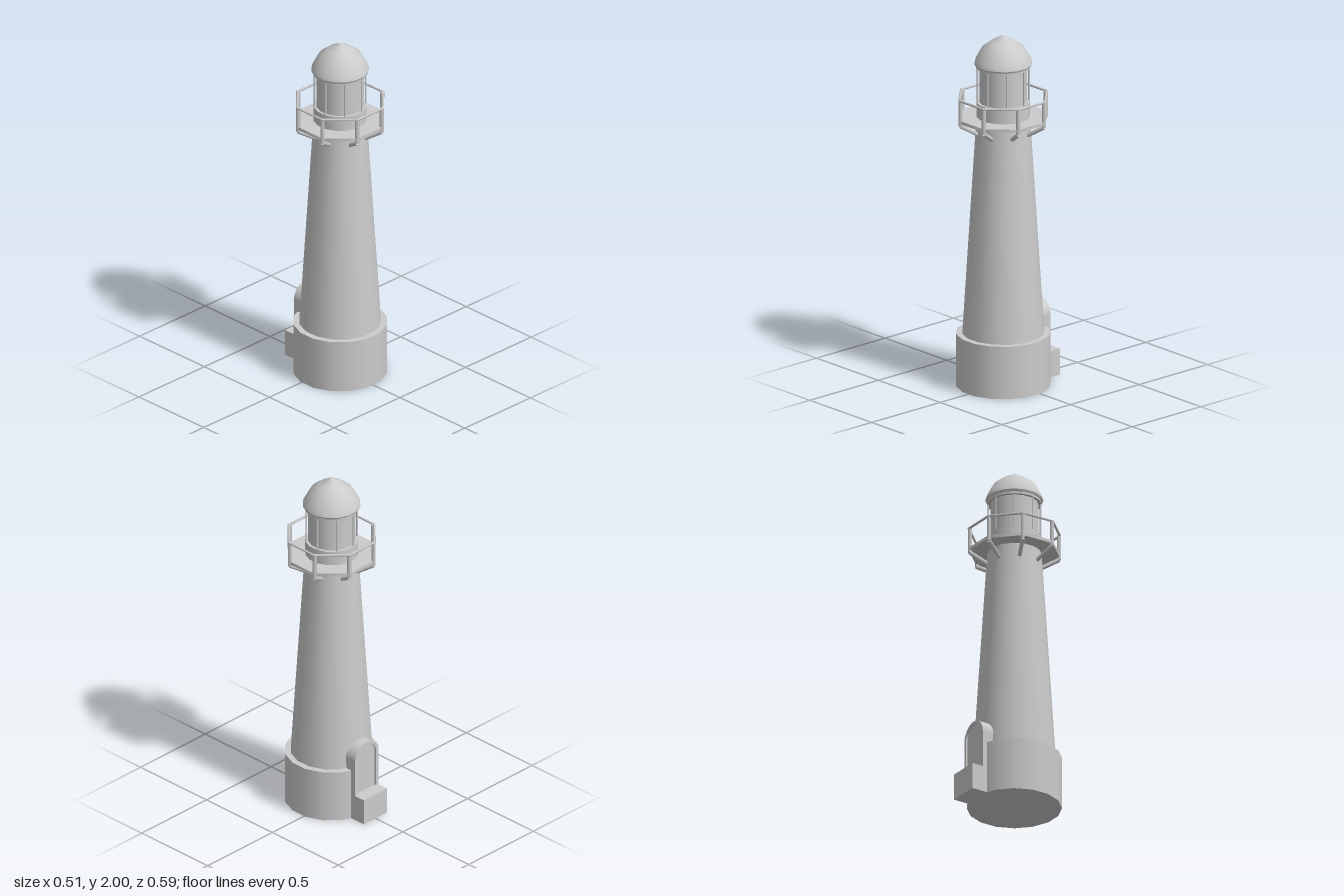
import * as THREE from 'three';

const material = new THREE.MeshStandardMaterial({ color: 0xcccccc });
const AXIS_Z = 0.04; // the tower stands slightly forward of the centre

export function createModel() {
  const group = new THREE.Group();
  const tower = new THREE.Group();
  tower.name = 'tower';
  tower.position.z = AXIS_Z;
  group.add(tower);

  const add = (parent, name, geometry) => {
    const mesh = new THREE.Mesh(geometry, material);
    mesh.name = name;
    parent.add(mesh);
    return mesh;
  };

  // Upright prism or frustum with flats facing the axes; sizes are apothems
  const prism = (name, bottom, top, y0, y1, sides = 16) => {
    const k = 1 / Math.cos(Math.PI / sides);
    const g = new THREE.CylinderGeometry(top * k, bottom * k, y1 - y0, sides);
    g.rotateY(Math.PI / sides);
    g.translate(0, (y0 + y1) / 2, 0);
    return add(tower, name, g);
  };

  // Straight bar between two points
  const bar = (name, a, b, radius, sides = 6) => {
    const g = new THREE.CylinderGeometry(radius, radius, a.distanceTo(b), sides);
    const mesh = add(tower, name, g);
    mesh.position.copy(a).add(b).multiplyScalar(0.5);
    mesh.quaternion.setFromUnitVectors(new THREE.Vector3(0, 1, 0), b.clone().sub(a).normalize());
    return mesh;
  };
  const polar = (r, angle, y) => new THREE.Vector3(r * Math.sin(angle), y, r * Math.cos(angle));

  // Masonry
  prism('base', 0.253, 0.253, 0, 0.3);
  prism('shaft', 0.22, 0.145, 0.3, 1.52);

  // Octagonal gallery with brackets, posts and handrail
  prism('galleryFloor', 0.232, 0.232, 1.518, 1.536, 8);
  const corner = 0.232 / Math.cos(Math.PI / 8);
  for (let i = 0; i < 8; i++) {
    const a = Math.PI / 8 + (i * Math.PI) / 4;
    const next = a + Math.PI / 4;
    const foot = polar(corner - 0.006, a, 1.505);
    bar('galleryPost', foot, polar(corner - 0.006, a, 1.65), 0.012);
    bar('galleryBracket', polar(0.145, a, 1.445), foot, 0.012);
    bar('handrail', polar(corner, a, 1.65), polar(corner, next, 1.65), 0.007);
    const joint = add(tower, 'handrailJoint', new THREE.SphereGeometry(0.007, 8, 6));
    joint.position.copy(polar(corner, a, 1.65));
  }

  // Lantern room
  prism('lanternWall', 0.143, 0.143, 1.536, 1.62);
  prism('lanternGlass', 0.128, 0.128, 1.62, 1.83);
  for (let i = 0; i < 8; i++) {
    const a = Math.PI / 16 + (i * Math.PI) / 4;
    bar('glazingBar', polar(0.141, a, 1.615), polar(0.141, a, 1.828), 0.005);
  }
  prism('lanternHead', 0.145, 0.145, 1.815, 1.83);

  // Domed roof
  prism('roofRim', 0.15, 0.155, 1.828, 1.838);
  const k = 1 / Math.cos(Math.PI / 16);
  const roof = [[0.155, 1.838], [0.15, 1.858], [0.115, 1.925], [0.068, 1.962], [0, 2]];
  add(tower, 'domeRoof', new THREE.LatheGeometry(
    roof.map(([r, y]) => new THREE.Vector2(r * k, y)), 16, Math.PI / 16));

  // Arched doorway at the back
  const arch = (Type, halfWidth) => {
    const path = new Type();
    path.moveTo(-halfWidth, 0);
    path.lineTo(halfWidth, 0);
    path.lineTo(halfWidth, 0.36);
    path.absarc(0, 0.36, halfWidth, 0, Math.PI, false);
    path.lineTo(-halfWidth, 0);
    return path;
  };
  const frame = arch(THREE.Shape, 0.09);
  const opening = new THREE.Path();
  opening.moveTo(-0.074, 0.14);
  opening.lineTo(-0.074, 0.36);
  opening.absarc(0, 0.36, 0.074, Math.PI, 0, true);
  opening.lineTo(0.074, 0.14);
  opening.lineTo(-0.074, 0.14);
  frame.holes.push(opening);
  const doorway = new THREE.Group();
  doorway.name = 'doorway';
  group.add(doorway);
  const extrude = (shape, depth) =>
    new THREE.ExtrudeGeometry(shape, { depth, bevelEnabled: false, curveSegments: 10 });
  add(doorway, 'doorFrame', extrude(frame, 0.105)).position.z = -0.225;
  add(doorway, 'door', extrude(arch(THREE.Shape, 0.08), 0.07)).position.z = -0.2145;

  // Entrance step
  const step = add(doorway, 'doorStep', new THREE.BoxGeometry(0.18, 0.15, 0.11));
  step.position.set(0, 0.075, -0.238);

  return group;
}
